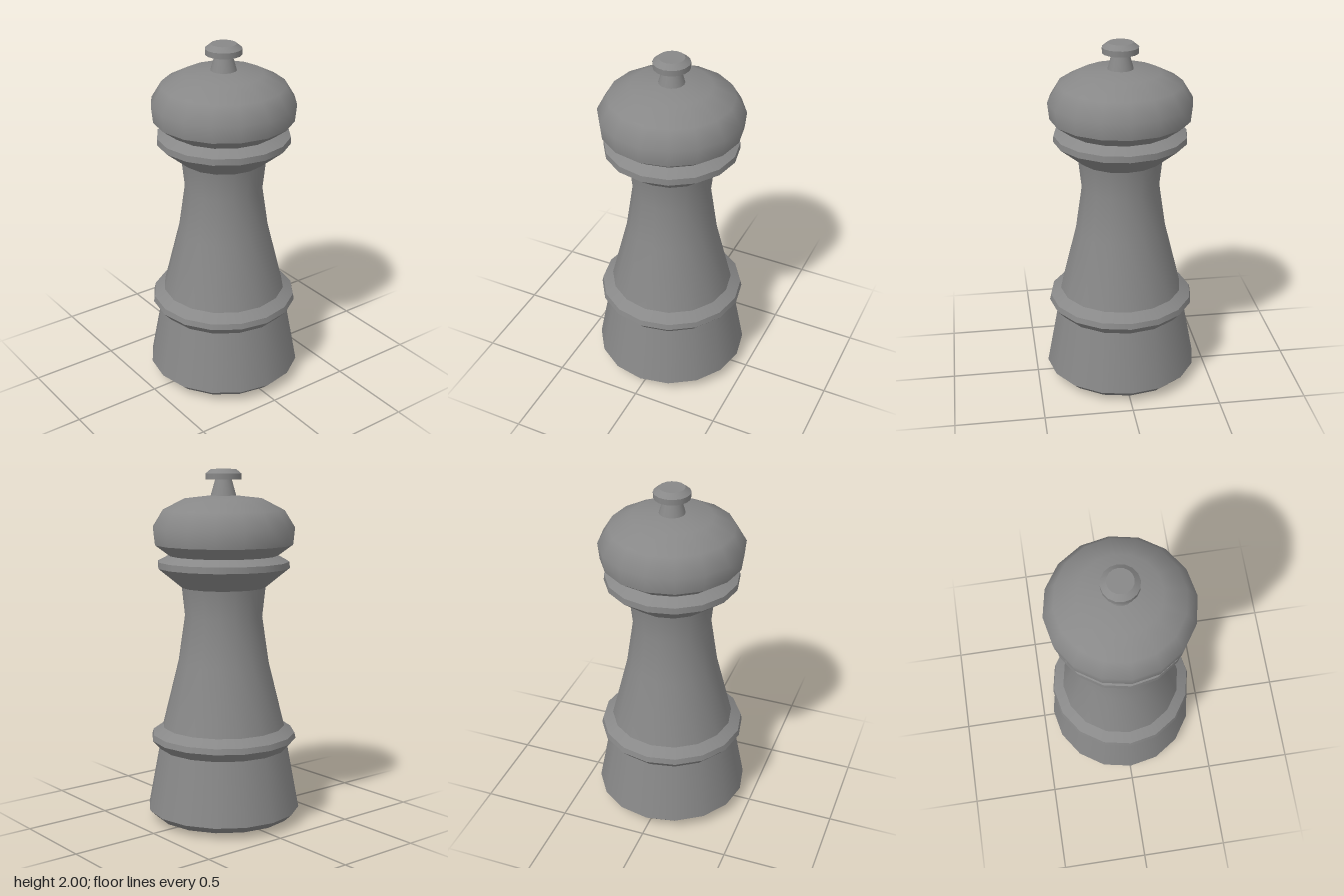
import * as THREE from 'three';

const SIDES = 16;

// Each part is a list of profile runs [radius, height]; a run is smooth, joins between runs are sharp.
const PARTS = {
  base: [
    [[0, 0], [0.305, 0]],
    [[0.305, 0], [0.395, 0.03], [0.437, 0.07]],
    [[0.437, 0.07], [0.37, 0.427]],
  ],
  lowerRing: [
    [[0.37, 0.427], [0.416, 0.478]],
    [[0.416, 0.478], [0.409, 0.51]],
    [[0.409, 0.51], [0.35, 0.55]],
  ],
  body: [
    [[0.35, 0.55], [0.258, 0.92], [0.22, 1.18], [0.238, 1.345]],
  ],
  collar: [
    [[0.238, 1.345], [0.373, 1.455]],
    [[0.373, 1.455], [0.371, 1.49]],
    [[0.371, 1.49], [0.305, 1.525]],
  ],
  head: [
    [[0.305, 1.522], [0.39, 1.585]],
    [[0.39, 1.585], [0.4, 1.68], [0.342, 1.775], [0.22, 1.838], [0.07, 1.855]],
  ],
  stem: [
    [[0.072, 1.853], [0.046, 1.945]],
  ],
  knob: [
    [[0.046, 1.943], [0.1, 1.943]],
    [[0.1, 1.943], [0.101, 1.975]],
    [[0.101, 1.975], [0.07, 2]],
    [[0.07, 2], [0, 2]],
  ],
};

export function createModel() {
  const model = new THREE.Group();
  model.name = 'pepperMill';
  const material = new THREE.MeshStandardMaterial({ color: 0x888888 });

  for (const [name, runs] of Object.entries(PARTS)) {
    const part = new THREE.Group();
    part.name = name;
    runs.forEach((run, i) => {
      const points = run.map(([r, y]) => new THREE.Vector2(r, y));
      const mesh = new THREE.Mesh(new THREE.LatheGeometry(points, SIDES), material);
      mesh.name = `${name}Surface${i + 1}`;
      part.add(mesh);
    });
    model.add(part);
  }
  return model;
}
